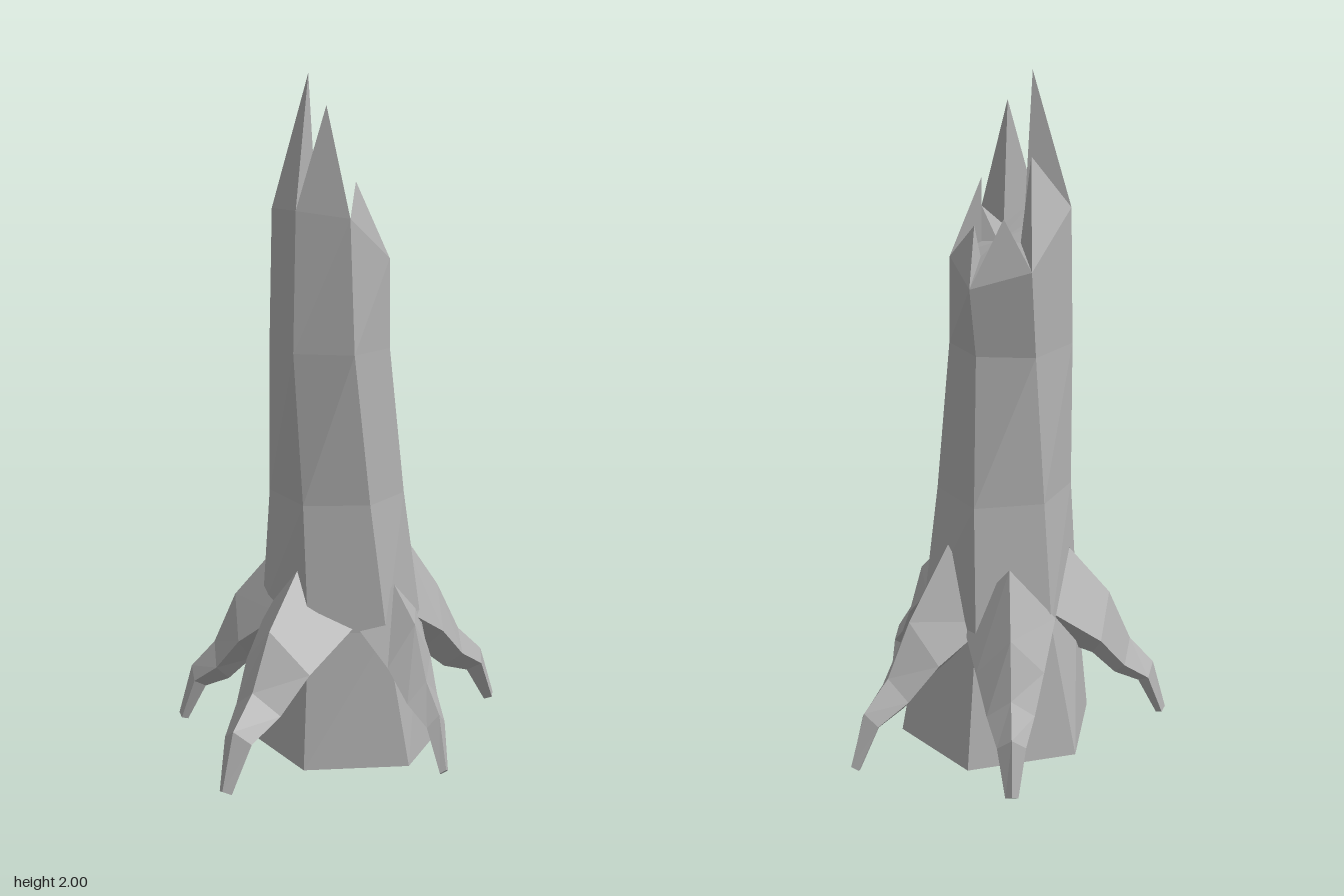
import * as THREE from 'three';

// Hollow, open-based shell, so both sides show
const bark = new THREE.MeshStandardMaterial({ color: 0xb0b0b0 });
bark.name = 'grey bark';
bark.flatShading = true;
bark.side = THREE.DoubleSide;

function meshFrom(name, tris) {
  const geo = new THREE.BufferGeometry();
  geo.setAttribute('position', new THREE.Float32BufferAttribute(tris.flat(2), 3));
  geo.computeVertexNormals();
  const mesh = new THREE.Mesh(geo, bark);
  mesh.name = name;
  return mesh;
}

// Walls between successive rings of points
function loft(rings) {
  const tris = [];
  for (let k = 0; k + 1 < rings.length; k++) {
    const lo = rings[k], hi = rings[k + 1], n = lo.length;
    for (let i = 0; i < n; i++) {
      const j = (i + 1) % n;
      tris.push([lo[i], hi[i], lo[j]], [lo[j], hi[i], hi[j]]);
    }
  }
  return tris;
}

// Six-sided leaning trunk: corners run back, right, front, left
const level = (y, pts) => pts.map(([x, z]) => [x, y, z]);
const rim = [
  [0.03, 1.47, -0.19], [0.145, 1.42, -0.06], [0.075, 1.48, 0.09],
  [-0.085, 1.6, 0.12], [-0.195, 1.62, 0.01], [-0.17, 1.62, -0.155],
];
const trunkRings = [
  level(0, [[0, -0.36], [0.29, -0.19], [0.27, 0.12], [0.01, 0.285], [-0.26, 0.13], [-0.25, -0.19]]),
  level(0.4, [[0.005, -0.26], [0.205, -0.14], [0.185, 0.105], [-0.02, 0.21], [-0.215, 0.09], [-0.21, -0.17]]),
  level(0.78, [[0, -0.22], [0.17, -0.1], [0.125, 0.1], [-0.05, 0.17], [-0.21, 0.06], [-0.185, -0.16]]),
  level(1.22, [[0.01, -0.19], [0.12, -0.06], [0.07, 0.1], [-0.095, 0.155], [-0.22, 0.03], [-0.18, -0.16]]),
  rim,
];

// One splinter rises from each side of the broken rim
const splinters = [
  [0.05, 1.61, -0.1], [0.065, 1.58, 0], [-0.02, 1.7, 0.055],
  [-0.11, 1.91, 0.04], [-0.1, 2, -0.065], [-0.06, 1.77, -0.1],
];
// Foot of each splinter's inner face, on the star-shaped broken floor
const notches = [
  [0.04, 1.49, -0.085], [0.05, 1.49, -0.01], [0, 1.52, 0.035],
  [-0.075, 1.56, 0.02], [-0.075, 1.57, -0.06], [-0.03, 1.53, -0.09],
];

function makeCrown() {
  const heart = [0, 1.53, -0.03];
  const tris = [];
  rim.forEach((c, i) => {
    const next = rim[(i + 1) % 6], tip = splinters[i], foot = notches[i];
    tris.push([c, tip, next]);
    tris.push([foot, tip, c], [foot, next, tip]);
    tris.push([heart, foot, c], [heart, next, foot]);
  });
  return meshFrom('splinteredTop', tris);
}

// Root stations: top along/height, side along/height, bottom along/height, half width
const stations = [
  [0, 0.6, -0.15, 0.42, -0.15, 0.27, 0.14],
  [0.4, 0.43, 0.3, 0.31, 0.25, 0.22, 0.1],
  [0.62, 0.27, 0.55, 0.21, 0.48, 0.15, 0.07],
  [0.86, 0.185, 0.8, 0.15, 0.72, 0.12, 0.042],
  [1, 0.025, 0.96, 0.015, 0.91, 0.005, 0.019],
];

function makeRoot(name, from, to, height, width) {
  const dx = to[0] - from[0], dz = to[1] - from[1], len = Math.hypot(dx, dz);
  const at = (s, y, w) => [from[0] + dx * s - dz / len * w, y, from[1] + dz * s + dx / len * w];
  const rings = stations.map(([ts, ty, ss, sy, bs, by, hw], k) => {
    const w = hw * width;
    return [at(ss, sy, w), at(ts, k ? ty : height, 0), at(ss, sy, -w), at(bs, by, 0)];
  });
  const tris = loft(rings);
  const e = rings[rings.length - 1];
  tris.push([e[0], e[2], e[1]], [e[0], e[3], e[2]]);
  return meshFrom(name, tris);
}

export function createModel() {
  const model = new THREE.Group();
  model.name = 'brokenTreeStump';
  model.add(
    meshFrom('trunk', loft(trunkRings)),
    makeCrown(),
    makeRoot('leftRoot', [0.18, 0], [0.545, 0.042], 0.64, 0.95),
    makeRoot('rightRoot', [-0.2, 0.025], [-0.55, 0.155], 0.59, 1.15),
    makeRoot('frontRoot', [0.03, 0.18], [0.05, 0.41], 0.53, 0.85),
    makeRoot('backRightRoot', [-0.155, -0.185], [-0.38, -0.405], 0.58, 0.98),
    makeRoot('backLeftRoot', [0.12, -0.195], [0.325, -0.405], 0.6, 1),
  );
  return model;
}
